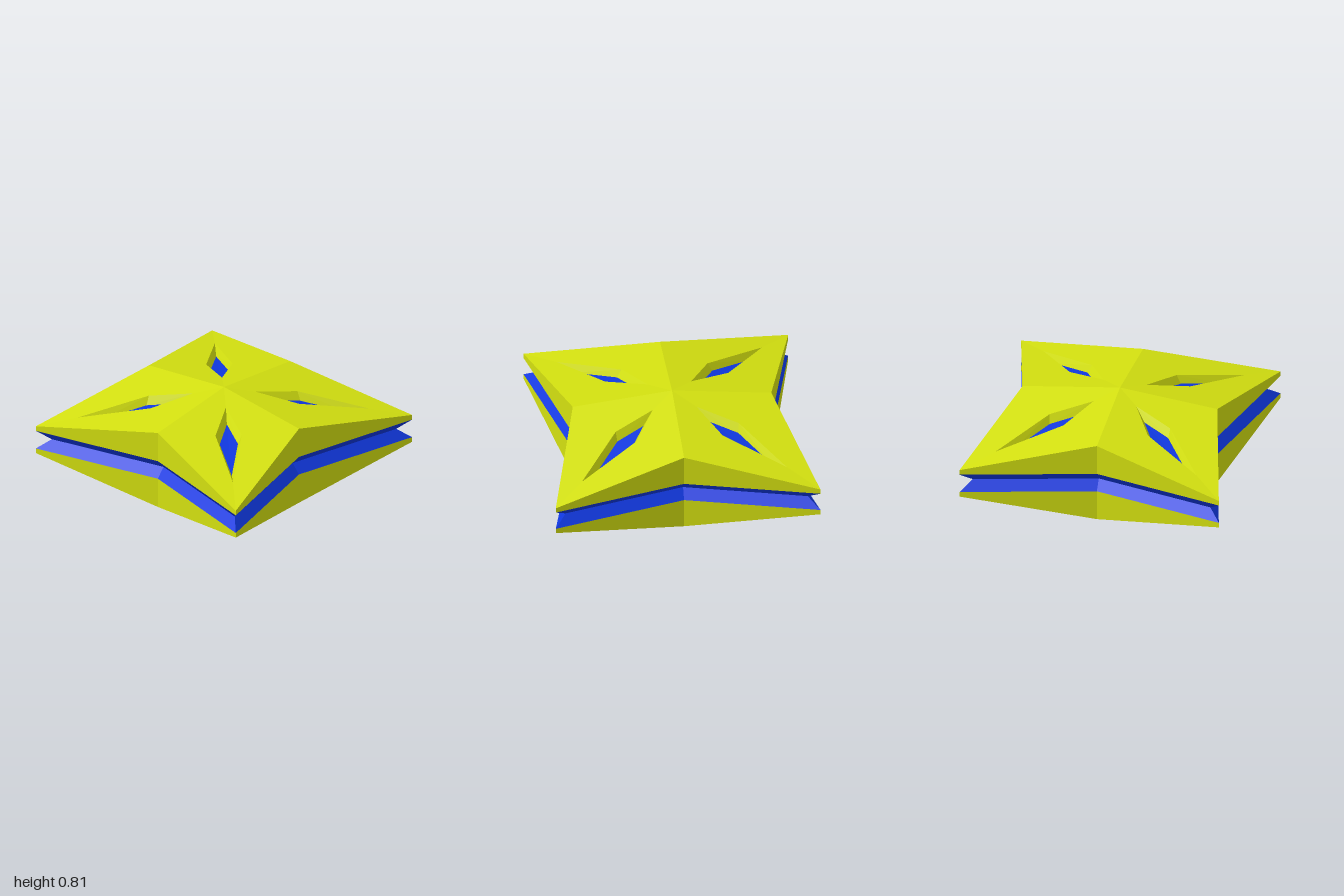
import * as THREE from 'three';

const MID = 0.4025;     // height of the plane of symmetry
const DEPTH = 0.06;     // depth of the window recesses

// Height of the roof above the middle, in the wedge z >= x >= 0
const roof = (x, z, drop = 0) => [x, 0.4025 - 0.173 * x - 0.115 * z - drop, z];

// Corners of one wedge: a sixteenth of the body
const apex = roof(0, 0), valley = roof(0, 0.75), tip = roof(1, 1);
const valleyRim = [0, 0.075, 0.75], tipRim = [1, 0.075, 1];
const valleyIn = [0, 0, 0.686], tipIn = [0.915, 0, 0.915];
// Window outline and its smaller, sunken floor
const inner = roof(0.165, 0.165), side = roof(0.325, 0.465), outer = roof(0.775, 0.775);
const floorInner = roof(0.246, 0.246, DEPTH);
const floorSide = roof(0.36, 0.457, DEPTH);
const floorOuter = roof(0.66, 0.66, DEPTH);

const quad = (a, b, c, d) => [[a, b, c], [a, c, d]];

// Repeats a wedge's triangles by mirroring in x, y, z and across the diagonal
function mirrored(triangles) {
  const positions = [];
  for (const sx of [1, -1]) for (const sy of [1, -1]) for (const sz of [1, -1]) {
    for (const swap of [false, true]) {
      const flip = (sx * sy * sz < 0) !== swap;
      for (const [a, b, c] of triangles) {
        for (const [x, y, z] of flip ? [a, c, b] : [a, b, c]) {
          positions.push(sx * (swap ? z : x), sy * y, sz * (swap ? x : z));
        }
      }
    }
  }
  const geometry = new THREE.BufferGeometry();
  geometry.setAttribute('position', new THREE.Float32BufferAttribute(positions, 3));
  geometry.computeVertexNormals();
  return geometry;
}

export function createModel() {
  const group = new THREE.Group();
  group.name = 'starBody';
  const yellow = new THREE.MeshStandardMaterial({ color: 0xd3e010, flatShading: true });
  const blue = new THREE.MeshStandardMaterial({ color: 0x1038e0, flatShading: true });

  const add = (name, triangles, material) => {
    const mesh = new THREE.Mesh(mirrored(triangles), material);
    mesh.name = name;
    mesh.position.y = MID;
    group.add(mesh);
  };

  // Faceted star shells, above and below, with diamond openings
  add('shellFaces', [
    [apex, valley, side], [apex, side, inner],
    [valley, tip, outer], [valley, outer, side],
  ], yellow);

  // Upright sides of the shells
  add('shellSides', quad(tip, valley, valleyRim, tipRim), yellow);

  // Sloping walls of the windows
  add('windowWalls', [
    ...quad(inner, side, floorSide, floorInner),
    ...quad(side, outer, floorOuter, floorSide),
  ], yellow);

  // Sunken window panes
  add('windowPanes', [[floorInner, floorSide, floorOuter]], blue);

  // V-shaped groove round the middle
  add('middleGroove', quad(tipRim, valleyRim, valleyIn, tipIn), blue);

  return group;
}
